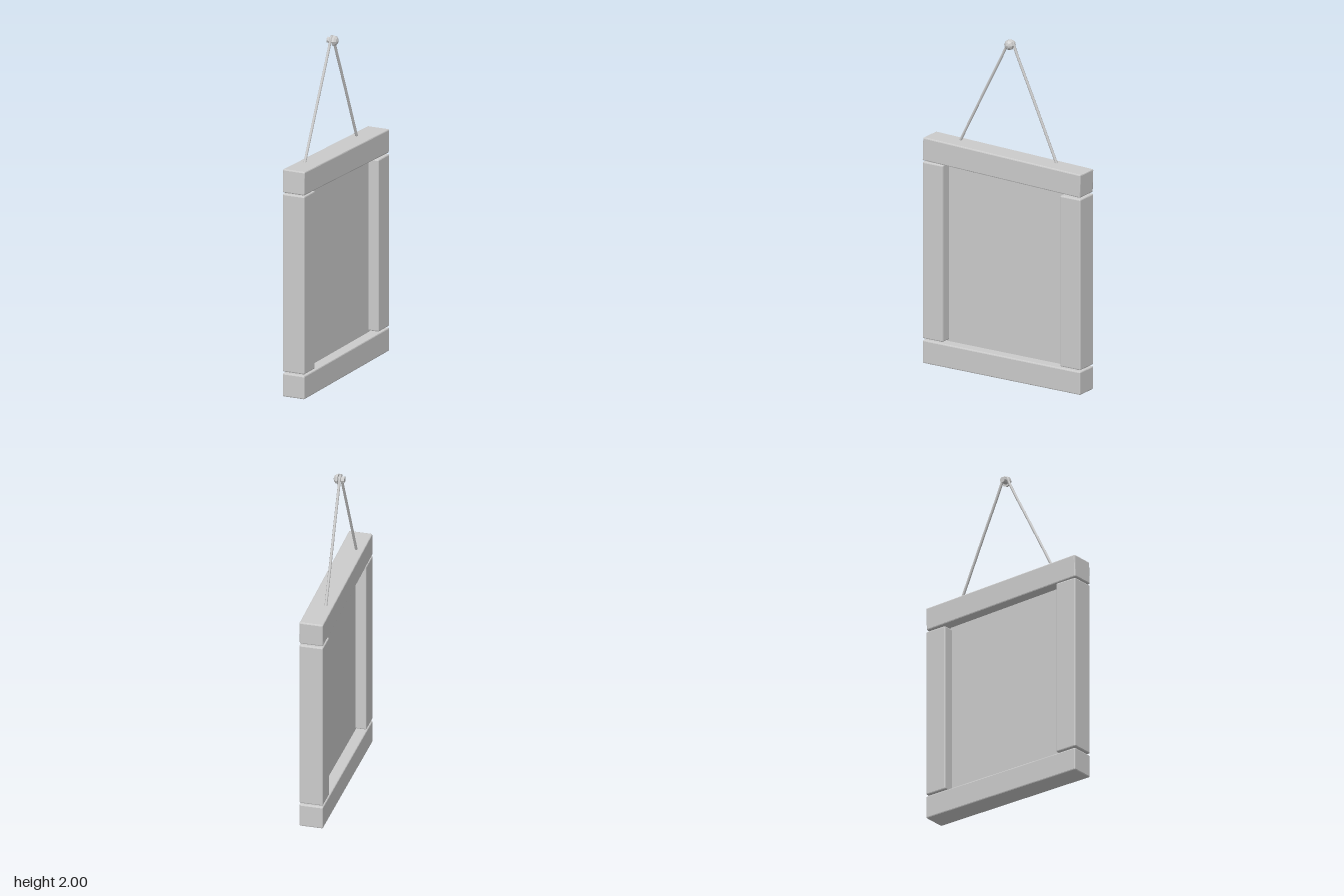
import * as THREE from 'three';
import { RoundedBoxGeometry } from 'three/addons/geometries/RoundedBoxGeometry.js';

const flat = new THREE.MeshStandardMaterial({ color: 0xcccccc, flatShading: true });
const smooth = new THREE.MeshStandardMaterial({ color: 0xcccccc });

const THICK = 0.138;
const PIN_Y = 1.967;
const ROPE_X = -0.026;

export function createModel() {
  const model = new THREE.Group();
  model.name = 'hangingSign';

  const add = (name, geometry, x, y, z, material = flat) => {
    const mesh = new THREE.Mesh(geometry, material);
    mesh.name = name;
    mesh.position.set(x, y, z);
    model.add(mesh);
    return mesh;
  };

  // Beam with small chamfered edges
  const beam = (name, height, depth, y, z) =>
    add(name, new RoundedBoxGeometry(THICK, height, depth, 1, 0.007), 0, y, z);

  // Frame: the top beam sits slightly crooked and the rear post is shorter
  beam('bottomBeam', 0.138, 1.066, 0.072, 0);
  beam('topBeam', 0.138, 1.066, 1.259, 0).rotation.x = -0.031;
  beam('frontPost', 1.05, 0.137, 0.675, 0.4655);
  beam('rearPost', 1.015, 0.137, 0.6575, -0.4655);

  // Thin board set in the middle of the frame
  add('panel', new THREE.BoxGeometry(0.008, 1.13, 0.82), 0, 0.675, 0);

  // Rope running from the top beam over the peg and back down
  const points = [
    [1.30, 0.358], [1.335, 0.34], [1.65, 0.18], [1.95, 0.028], [1.983, 0.016],
    [1.991, 0], [1.983, -0.016], [1.95, -0.028], [1.65, -0.163], [1.31, -0.314], [1.28, -0.328],
  ].map(([y, z]) => new THREE.Vector3(ROPE_X, y, z));
  add('rope', new THREE.TubeGeometry(new THREE.CatmullRomCurve3(points), 80, 0.008, 8), 0, 0, 0, smooth);

  // Peg shaft and its domed head, both lying along x
  const shaft = add('pegShaft', new THREE.CylinderGeometry(0.018, 0.018, 0.042, 8), -0.031, PIN_Y, 0);
  shaft.rotation.z = -Math.PI / 2;

  const profile = [[0, 0], [0.031, 0], [0.028, 0.012], [0.018, 0.023], [0, 0.029]]
    .map(([r, h]) => new THREE.Vector2(r, h));
  const head = add('pegHead', new THREE.LatheGeometry(profile, 8), -0.015, PIN_Y, 0);
  head.rotation.z = -Math.PI / 2;

  return model;
}
